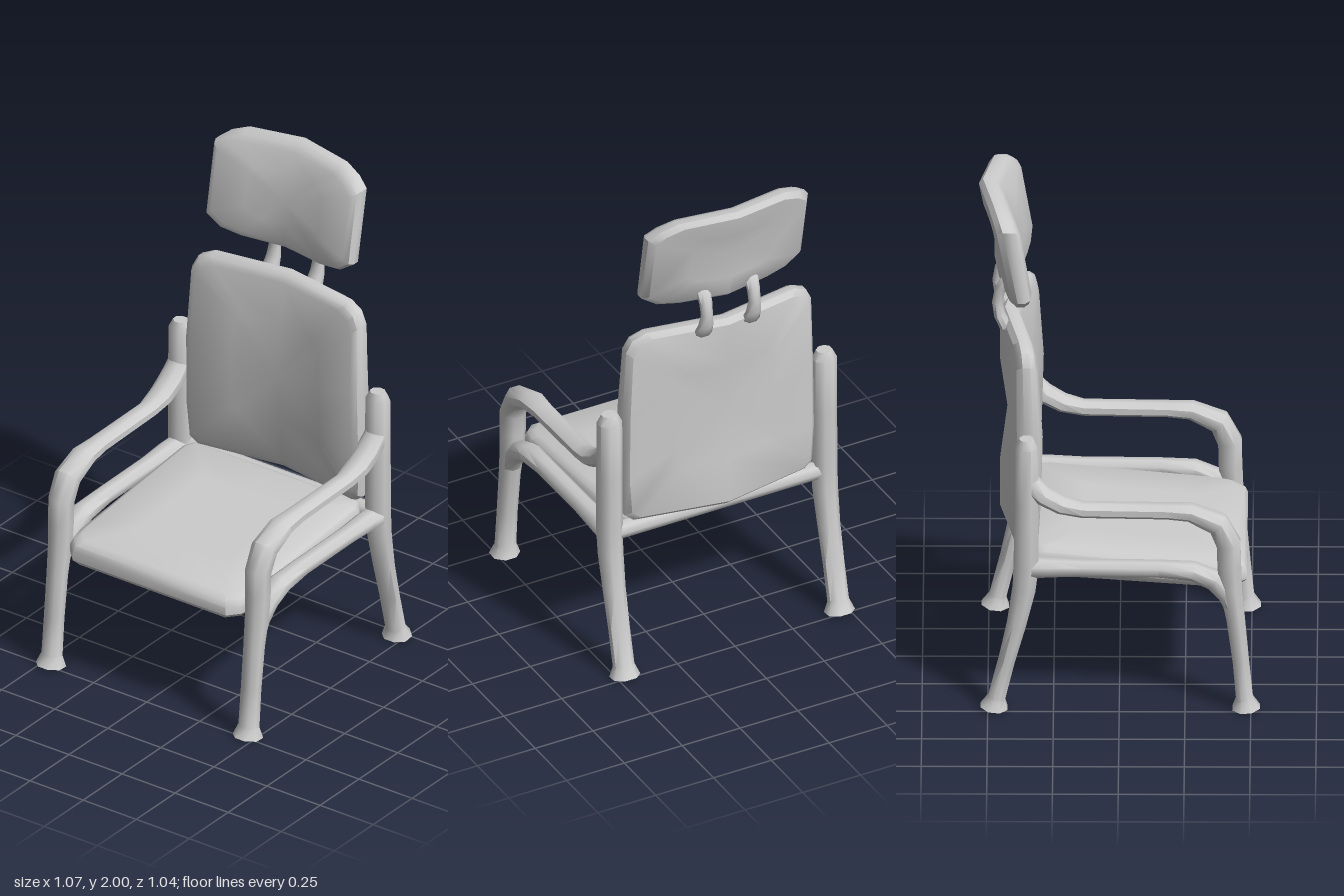
import * as THREE from 'three';
import { toCreasedNormals } from 'three/addons/utils/BufferGeometryUtils.js';

const material = new THREE.MeshStandardMaterial({ color: 0xcccccc });

// Joins equal-sized rings of points into a closed solid with fan caps.
function loft(name, rings, crease = 0.7) {
  const n = rings[0].length, pos = [], idx = [];
  rings.forEach(r => r.forEach(p => pos.push(...p)));
  for (let i = 0; i < rings.length - 1; i++) {
    for (let j = 0; j < n; j++) {
      const a = i * n + j, b = i * n + (j + 1) % n;
      idx.push(a, b, b + n, a, b + n, a + n);
    }
  }
  [[0, true], [rings.length - 1, false]].forEach(([r, flip]) => {
    const c = pos.length / 3;
    for (let k = 0; k < 3; k++) pos.push(rings[r].reduce((s, p) => s + p[k], 0) / n);
    for (let j = 0; j < n; j++) {
      const a = r * n + j, b = r * n + (j + 1) % n;
      idx.push(...(flip ? [b, a, c] : [a, b, c]));
    }
  });
  // Turn the faces outward if the solid came out inside out
  const v = i => new THREE.Vector3().fromArray(pos, i * 3);
  let volume = 0;
  for (let i = 0; i < idx.length; i += 3) volume += v(idx[i]).dot(v(idx[i + 1]).cross(v(idx[i + 2])));
  if (volume < 0) idx.reverse();
  const g = new THREE.BufferGeometry();
  g.setAttribute('position', new THREE.Float32BufferAttribute(pos, 3));
  g.setIndex(idx);
  const mesh = new THREE.Mesh(toCreasedNormals(g, crease), material);
  mesh.name = name;
  return mesh;
}

// Octagonal bar along a path of [x, y, half thickness, half width in z].
function bar(name, path, z) {
  const rings = path.map(([x, y, a, b], i) => {
    const p = path[Math.max(i - 1, 0)], q = path[Math.min(i + 1, path.length - 1)];
    const l = Math.hypot(q[0] - p[0], q[1] - p[1]);
    const nx = -(q[1] - p[1]) / l, ny = (q[0] - p[0]) / l;
    return Array.from({ length: 8 }, (_, k) => {
      const t = (k + 0.5) * Math.PI / 4, c = Math.cos(t) * a * 1.08, s = Math.sin(t) * b * 1.08;
      return [x + nx * c, Math.max(0, y + ny * c), z + s];
    });
  });
  return loft(name, rings, 0.9);
}

// Padded panel: an outline (u, v) stacked in layers of [inset, depth 0..1].
function cushion(name, outline, place) {
  const us = outline.map(p => p[0]), vs = outline.map(p => p[1]);
  const cu = (Math.max(...us) + Math.min(...us)) / 2, hu = Math.max(...us) - cu;
  const cv = (Math.max(...vs) + Math.min(...vs)) / 2, hv = Math.max(...vs) - cv;
  const layers = [[hu * 0.5, 0], [0.035, 0], [0.01, 0.15], [0, 0.4], [0, 0.75], [0.02, 1], [hu * 0.5, 1]];
  return loft(name, layers.map(([inset, d]) => outline.map(([u, v]) => {
    const f = inset > 0.1 ? 0.5 : 0;
    const su = f || 1 - inset / hu, sv = f || 1 - inset / hv;
    return place(cu + (u - cu) * su, cv + (v - cv) * sv, d);
  })));
}

// Completes a right-hand half outline, mirrored about u = 0.
const mirrored = half => [...half, ...half.slice(1, -1).reverse().map(([u, v]) => [-u, v])];

export function createModel() {
  const chair = new THREE.Group();
  chair.name = 'armchair';

  // Side frames
  for (const s of [1, -1]) {
    const z = 0.464 * s;
    const frame = new THREE.Group();
    frame.name = s > 0 ? 'leftSideFrame' : 'rightSideFrame';
    frame.add(
      bar('frontLegAndArmrest', [
        [-0.482, 0, 0.053, 0.056], [-0.476, 0.045, 0.032, 0.04], [-0.462, 0.2, 0.031, 0.039],
        [-0.442, 0.38, 0.035, 0.04], [-0.424, 0.5, 0.043, 0.044], [-0.418, 0.6, 0.045, 0.047],
        [-0.416, 0.69, 0.046, 0.048], [-0.376, 0.772, 0.043, 0.05], [-0.27, 0.82, 0.033, 0.048],
        [-0.18, 0.825, 0.029, 0.04], [0.14, 0.83, 0.029, 0.038], [0.22, 0.85, 0.033, 0.046],
        [0.29, 0.89, 0.036, 0.048], [0.35, 0.945, 0.04, 0.045]], z),
      bar('seatRail', [
        [-0.44, 0.4, 0.028, 0.036], [-0.41, 0.48, 0.036, 0.04], [-0.36, 0.537, 0.038, 0.044],
        [-0.28, 0.573, 0.035, 0.044], [-0.15, 0.583, 0.031, 0.038], [0.15, 0.586, 0.031, 0.038],
        [0.27, 0.588, 0.035, 0.044], [0.36, 0.585, 0.04, 0.045]], z),
      bar('backLegAndPost', [
        [0.476, 0, 0.053, 0.056], [0.466, 0.045, 0.032, 0.04], [0.428, 0.2, 0.031, 0.04],
        [0.391, 0.35, 0.036, 0.042], [0.362, 0.5, 0.044, 0.046], [0.354, 0.6, 0.048, 0.047],
        [0.353, 0.85, 0.045, 0.047], [0.353, 1.09, 0.043, 0.046], [0.353, 1.125, 0.026, 0.03]], z));
    chair.add(frame);
  }

  // Cross bar under the backrest
  const cross = new THREE.Mesh(new THREE.CylinderGeometry(0.037, 0.037, 0.88, 8), material);
  cross.rotation.x = Math.PI / 2;
  cross.position.set(0.355, 0.585, 0);
  cross.name = 'rearCrossBar';
  chair.add(cross);

  // Seat, rising toward the back
  const seat = mirrored([[0, -0.485], [0.36, -0.485], [0.405, -0.44], [0.415, -0.38],
    [0.415, 0.3], [0.39, 0.34], [0, 0.34]]);
  chair.add(cushion('seat', seat, (u, v, d) => {
    const t = (v + 0.485) / 0.825;
    const bottom = 0.468 + 0.06 * t, top = 0.565 + 0.08 * t;
    return [v, top + (bottom - top) * d, u];
  }));

  // Backrest, folded along its middle
  const back = mirrored([[0, 0.618], [0.37, 0.622], [0.405, 0.65], [0.415, 0.8], [0.412, 1.1],
    [0.4, 1.39], [0.375, 1.44], [0.32, 1.465], [0, 1.465]]);
  chair.add(cushion('backrest', back, (u, v, d) => {
    const fold = 0.07 * (1 - Math.abs(u) / 0.415);
    const front = v > 1.05 ? 0.282 + 0.025 * (v - 1.05) / 0.41 : 0.282 + 0.02 * (1.05 - v) / 0.43;
    return [fold + front + (0.386 - front) * d, v, u];
  }));

  // Headrest, folded and leaning back
  const head = mirrored([[0, 1.572], [0.19, 1.575], [0.28, 1.59], [0.345, 1.635], [0.345, 1.93],
    [0.3, 1.965], [0.23, 1.992], [0, 2]]);
  chair.add(cushion('headrest', head, (u, v, d) => {
    const fold = 0.06 * (1 - Math.abs(u) / 0.345);
    const t = (v - 1.57) / 0.43;
    const front = t < 0.6 ? 0.318 + 0.045 * t : 0.345 + 0.14 * (t - 0.6);
    const rear = 0.395 + 0.085 * t;
    return [fold + front + (rear - front) * d, v, u];
  }));

  // Curved brackets that carry the headrest
  for (const s of [1, -1]) {
    chair.add(bar(s > 0 ? 'leftHeadrestBracket' : 'rightHeadrestBracket', [
      [0.415, 1.42, 0.018, 0.025], [0.437, 1.437, 0.022, 0.034], [0.457, 1.48, 0.021, 0.028],
      [0.465, 1.53, 0.02, 0.022], [0.456, 1.58, 0.02, 0.024], [0.435, 1.62, 0.02, 0.028],
      [0.405, 1.64, 0.018, 0.022]], 0.103 * s));
  }
  return chair;
}
